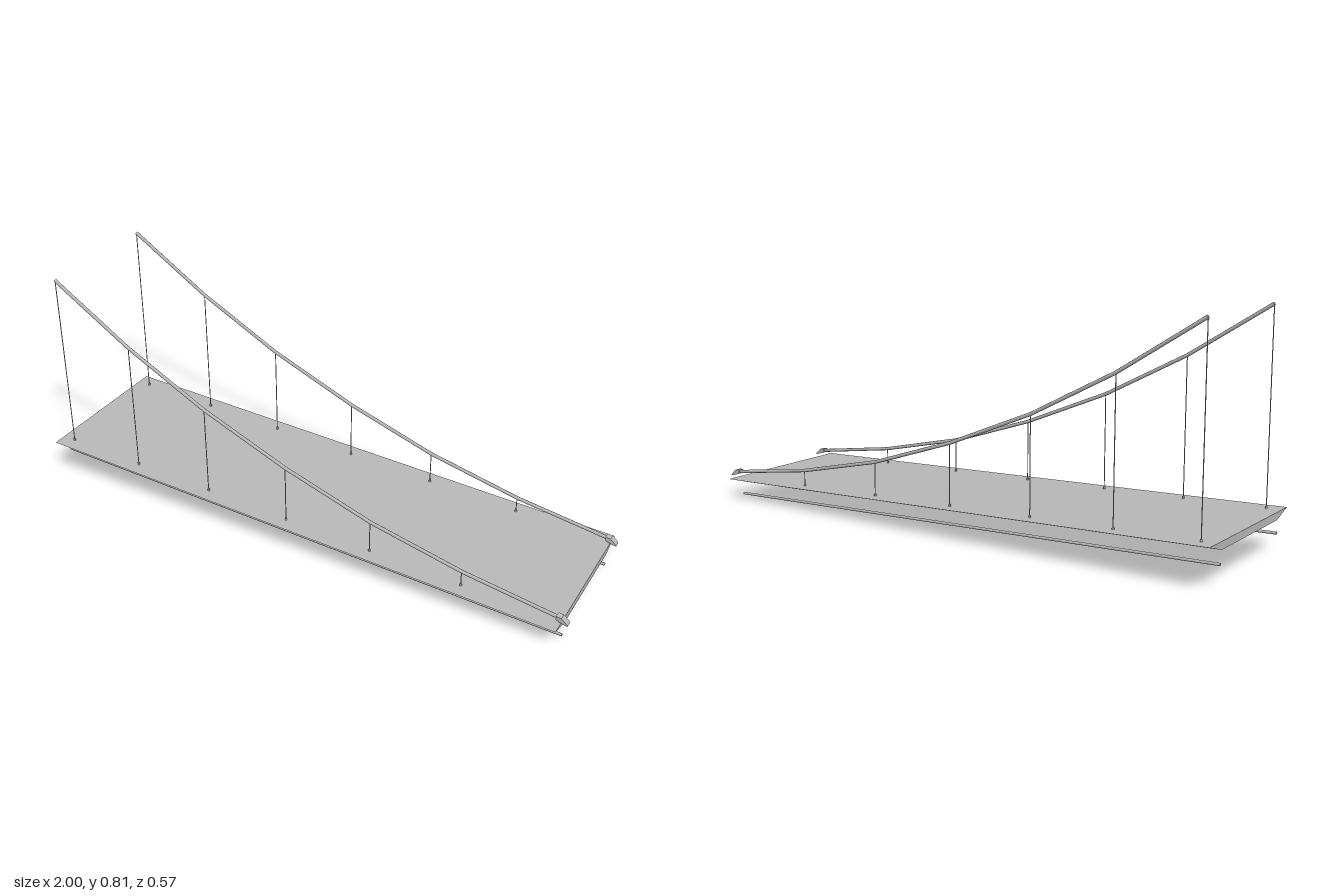
import * as THREE from 'three';

const grey = new THREE.MeshStandardMaterial({ color: 0xb8b8b8 });
grey.name = 'concrete grey';

const X0 = -1, X1 = 0.975;
// Height of the sloping deck surface at x
const deckTop = x => THREE.MathUtils.mapLinear(x, X0, X1, 0.147, 0.075);

// Straight round bar between two points
function rod(name, a, b, radius, sides = 8) {
  const dir = b.clone().sub(a);
  const mesh = new THREE.Mesh(new THREE.CylinderGeometry(radius, radius, dir.length(), sides), grey);
  mesh.position.copy(a).add(b).multiplyScalar(0.5);
  mesh.quaternion.setFromUnitVectors(new THREE.Vector3(0, 1, 0), dir.normalize());
  mesh.name = name;
  return mesh;
}

// Prism with its outline in x-y (or z-y after turning), centred on its depth
function prism(points, depth) {
  const shape = new THREE.Shape(points.map(p => new THREE.Vector2(...p)));
  return new THREE.ExtrudeGeometry(shape, { depth, bevelEnabled: false }).translate(0, 0, -depth / 2);
}

export function createModel() {
  const model = new THREE.Group();
  model.name = 'suspensionBridgeSpan';

  // Deck: trapezoid section run along x, sheared down towards +x
  const deckGeo = prism([[-0.2, -0.026], [0.2, -0.026], [0.283, 0], [-0.283, 0]], X1 - X0);
  deckGeo.rotateY(Math.PI / 2).translate((X0 + X1) / 2, 0, 0);
  const pos = deckGeo.attributes.position;
  for (let i = 0; i < pos.count; i++) pos.setY(i, pos.getY(i) + deckTop(pos.getX(i)));
  deckGeo.computeVertexNormals();
  const deck = new THREE.Mesh(deckGeo, grey);
  deck.name = 'deck';
  model.add(deck);

  // Sagging cable nodes, from the high end to the anchored end
  const nodes = [[-0.95, 0.804], [-0.655, 0.618], [-0.35, 0.459], [-0.03, 0.327],
    [0.295, 0.22], [0.63, 0.145], [0.978, 0.094]];

  for (const side of [1, -1]) {
    const z = 0.234 * side;
    const group = new THREE.Group();
    group.name = side > 0 ? 'frontCable' : 'backCable';
    const pts = nodes.map(([x, y]) => new THREE.Vector3(x, y, z));

    pts.slice(0, -1).forEach((p, i) => {
      group.add(rod('cableSegment', p, pts[i + 1], 0.0062));
      // Hanger with a small foot on the deck
      const foot = new THREE.Vector3(p.x, deckTop(p.x), z);
      group.add(rod('hanger', foot, p, 0.0016, 6));
      group.add(rod('hangerFoot', foot, foot.clone().setY(foot.y + 0.008), 0.004, 6));
    });

    // Wedge clamp at the low end of the cable
    const clamp = new THREE.Mesh(prism([[0.96, 0.09], [0.985, 0.082], [1, 0.079],
      [0.998, 0.085], [0.978, 0.103], [0.96, 0.105]], 0.023), grey);
    clamp.position.z = z;
    clamp.name = 'cableClamp';
    group.add(clamp);
    model.add(group);

    // Rail hanging below the deck edge
    model.add(rod(side > 0 ? 'frontLowerRail' : 'backLowerRail',
      new THREE.Vector3(X0, 0.078, 0.206 * side), new THREE.Vector3(X1, 0.005, 0.206 * side), 0.005));
  }
  return model;
}
